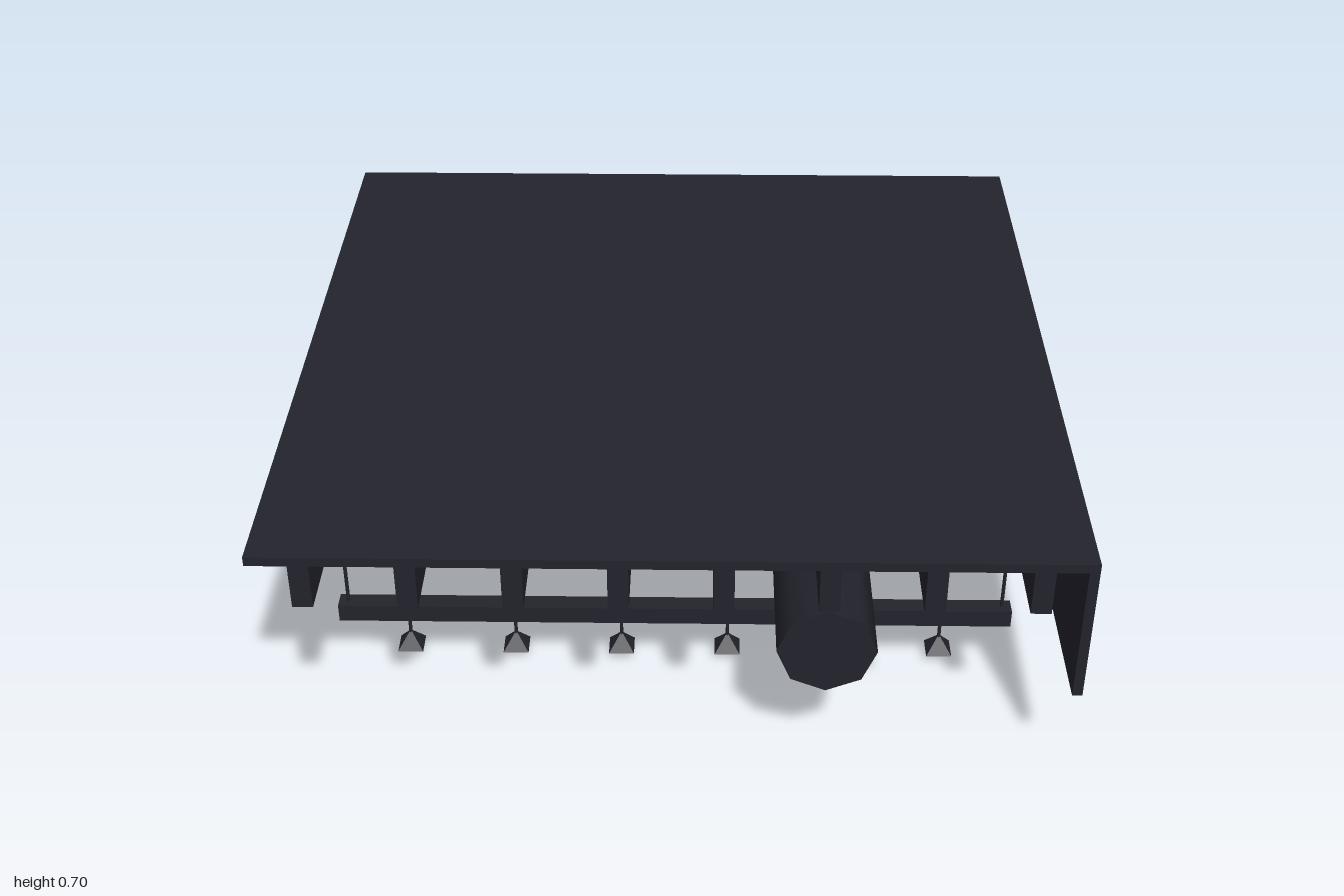
import * as THREE from 'three';

export function createModel() {
  const model = new THREE.Group();
  const dark = new THREE.MeshStandardMaterial({ color: 0x23232d });
  dark.name = 'dark slate';

  const add = (name, geometry, x, y, z, parent = model) => {
    const mesh = new THREE.Mesh(geometry, dark);
    mesh.name = name;
    mesh.position.set(x, y, z);
    parent.add(mesh);
    return mesh;
  };
  const box = (name, w, h, d, x, y, z, parent) =>
    add(name, new THREE.BoxGeometry(w, h, d), x, y, z, parent);
  // Thin vertical rod between two heights
  const rod = (name, r, y0, y1, x, z, parent) =>
    add(name, new THREE.CylinderGeometry(r, r, y1 - y0, 6), x, (y0 + y1) / 2, z, parent);

  // Ceiling slab and the two walls hanging from it
  box('ceilingSlab', 2, 0.025, 2, 0, 0.6875, 0);
  box('leftWall', 0.025, 0.375, 2, 0.9875, 0.4875, 0);
  box('backWall', 1.975, 0.375, 0.025, -0.0125, 0.4875, -0.9875);

  // Joists running front to back
  for (let i = 0; i < 8; i++) {
    box('joist', 0.05, 0.125, 1.97, -0.875 + i * 0.25, 0.6125, 0.01);
  }

  // Main duct with a branch into the left wall
  const duct = add('mainDuct', new THREE.CylinderGeometry(0.122, 0.122, 1.975, 8), 0.375, 0.427, 0.0075);
  duct.rotation.x = Math.PI / 2;
  const branch = add('branchDuct', new THREE.CylinderGeometry(0.122, 0.122, 0.6, 8), 0.675, 0.427, 0);
  branch.rotation.z = Math.PI / 2;

  // Square shade, turned so that its sides follow the axes
  const shade = new THREE.ConeGeometry(0.048, 0.05, 4).toNonIndexed();
  shade.rotateY(Math.PI / 4);
  shade.computeVertexNormals();

  // Two suspended bars, each with six lamps
  for (const z of [0.5, -0.5]) {
    const bar = new THREE.Group();
    bar.name = 'lampBar';
    model.add(bar);
    box('rail', 1.8, 0.05, 0.05, 0, 0.15, z, bar);
    for (const x of [-0.875, 0.875]) rod('hanger', 0.005, 0.17, 0.68, x, z, bar);
    for (let i = 0; i < 6; i++) {
      const x = (i - 2.5) * 0.286;
      rod('lampStem', 0.005, 0.06, 0.13, x, z, bar);
      add('lampShade', shade, x, 0.051, z, bar);
      add('lampBulb', new THREE.SphereGeometry(0.009, 8, 6), x, 0.009, z, bar).scale.y = 1;
      rod('bulbNeck', 0.006, 0.009, 0.03, x, z, bar);
    }
  }

  // Single bulb on a cord in the middle
  rod('pendantCord', 0.004, 0.165, 0.68, 0, 0);
  add('pendantBulb', new THREE.SphereGeometry(0.015, 8, 6), 0, 0.162, 0);

  return model;
}
